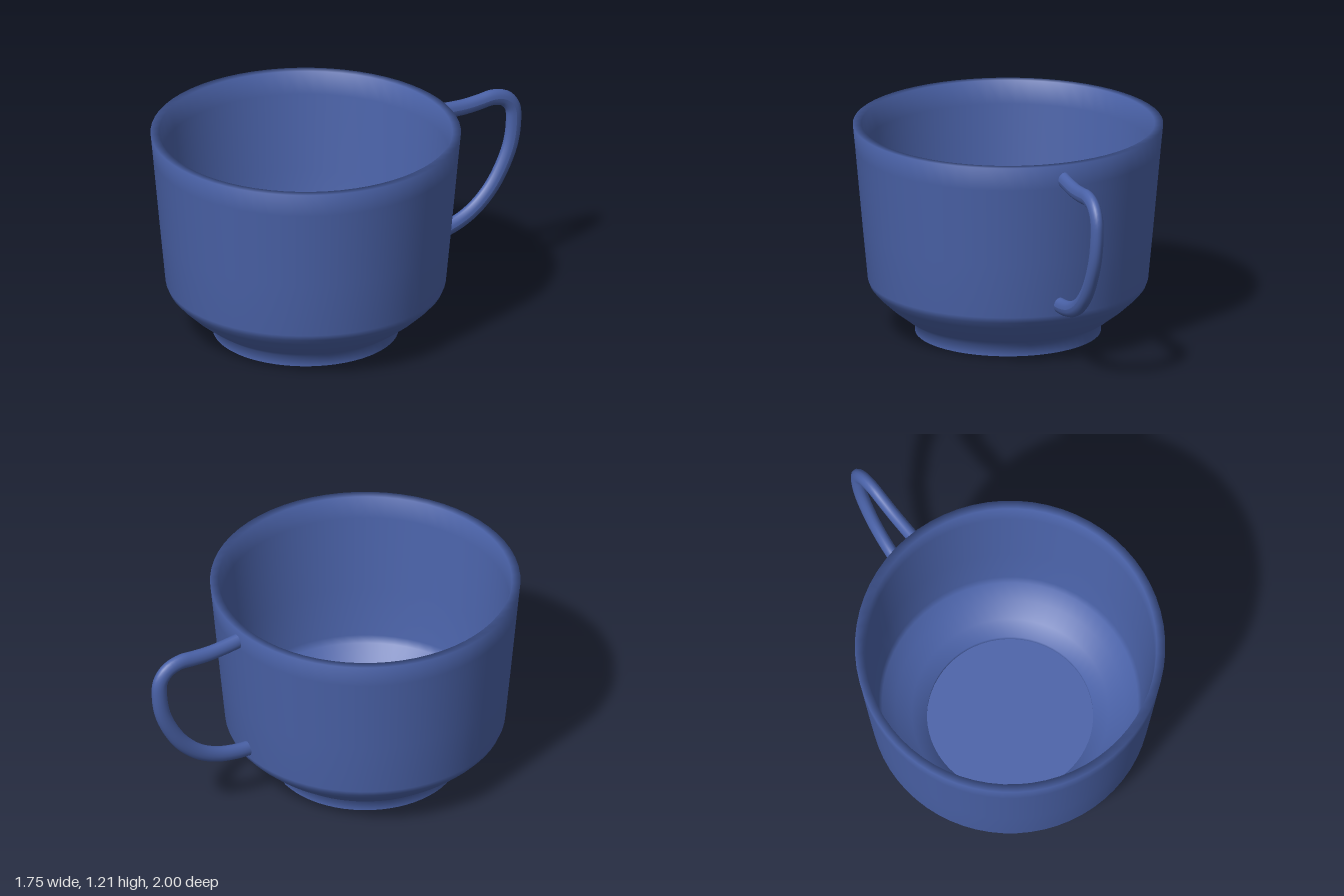
import * as THREE from 'three';

const SIDES = 64;
const CENTRE_Z = 0.13;
const vec2 = ([x, y]) => new THREE.Vector2(x, y);

export function createModel() {
  const model = new THREE.Group();
  model.name = 'cup';
  const glaze = new THREE.MeshStandardMaterial({ color: 0x4a62a8 });

  const add = (name, geometry, parent) => {
    const mesh = new THREE.Mesh(geometry, glaze);
    mesh.name = name;
    parent.add(mesh);
    return mesh;
  };

  // Bowl: foot, flared shoulder, tapered wall, rim, then down the inside
  const bowl = new THREE.Group();
  bowl.name = 'bowl';
  bowl.position.set(-0.005, 0, CENTRE_Z);
  model.add(bowl);
  const profile = [
    [0.52, 0], [0.52, 0.06], [0.58, 0.1], [0.665, 0.165], [0.735, 0.23],
    [0.77, 0.27], [0.784, 0.305], [0.814, 0.62], [0.855, 1.07], [0.868, 1.205],
    [0.82, 1.205], [0.808, 1.07], [0.765, 0.62], [0.735, 0.325],
    [0.715, 0.285], [0.64, 0.21], [0.55, 0.14], [0.465, 0.085], [0.465, 0.05],
  ].map(vec2);
  add('bowlWall', new THREE.LatheGeometry(profile, SIDES), bowl);

  // Inside floor and underside
  const floor = add('bowlFloor', new THREE.CircleGeometry(0.465, SIDES), bowl);
  floor.rotation.x = -Math.PI / 2;
  floor.position.y = 0.05;
  const base = add('footBase', new THREE.CircleGeometry(0.52, SIDES), bowl);
  base.rotation.x = Math.PI / 2;

  // Handle: slightly flattened tube in a vertical plane, turned to the back left
  const path = new THREE.CatmullRomCurve3([
    [0.835, 1.12], [0.94, 1.108], [1.06, 1.102], [1.16, 1.108], [1.25, 1.115],
    [1.33, 1.09], [1.378, 1.03], [1.385, 0.94], [1.365, 0.81], [1.31, 0.68],
    [1.23, 0.56], [1.12, 0.46], [1.0, 0.4], [0.88, 0.372], [0.765, 0.362],
  ].map(([x, y]) => new THREE.Vector3(x, y, 0)));
  const tube = new THREE.TubeGeometry(path, 72, 0.046, 16);
  tube.scale(1, 1, 0.78);
  tube.computeVertexNormals();
  const handle = add('handle', tube, model);
  handle.position.set(-0.02, 0, CENTRE_Z);
  handle.rotation.y = 0.902;

  return model;
}
